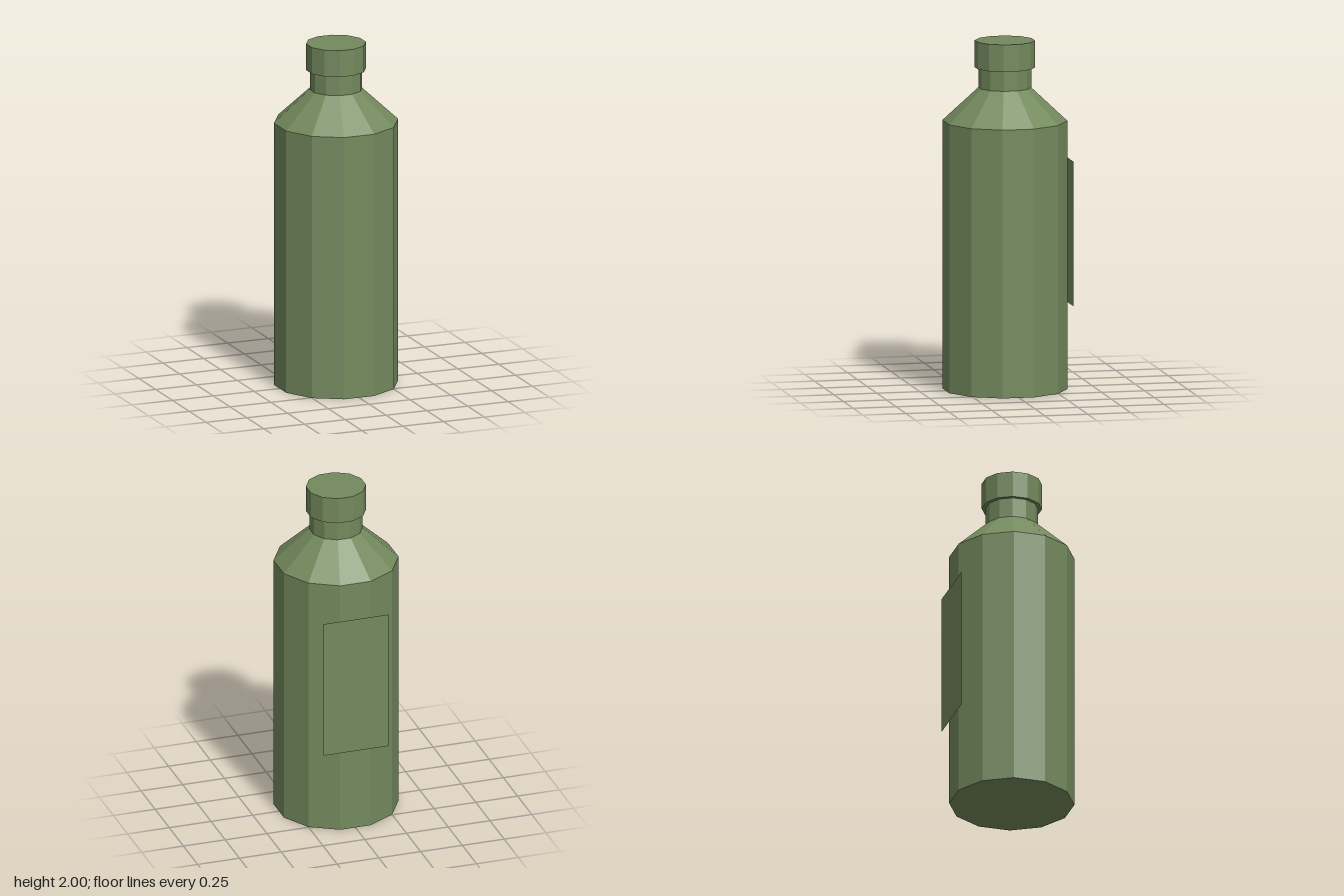
import * as THREE from 'three';

const SIDES = 12;
const AXIS_Z = 0.006; // the label behind shifts the bottle slightly forward

// Faceted solid of revolution with flat sides facing the main axes
function turned(name, profile, material) {
  const points = profile.map(([r, y]) => new THREE.Vector2(r, y));
  const geometry = new THREE.LatheGeometry(points, SIDES, Math.PI / SIDES).toNonIndexed();
  geometry.computeVertexNormals();
  const mesh = new THREE.Mesh(geometry, material);
  mesh.name = name;
  mesh.position.z = AXIS_Z;
  return mesh;
}

export function createModel() {
  const group = new THREE.Group();
  group.name = 'bottle';
  const green = new THREE.MeshStandardMaterial({ color: 0x748a5e, flatShading: true, side: THREE.DoubleSide });
  green.name = 'olive green';

  // Base, straight wall, sloping shoulder and neck
  group.add(turned('body', [[0, 0], [0.355, 0], [0.355, 1.54]], green));
  group.add(turned('shoulder', [[0.355, 1.54], [0.15, 1.73]], green));
  group.add(turned('neck', [[0.15, 1.73], [0.15, 1.845]], green));

  // Cap, slightly wider than the neck
  group.add(turned('cap', [[0, 1.845], [0.171, 1.845], [0.171, 2], [0, 2]], green));

  // Flat label panel standing just off the back
  const label = new THREE.Mesh(new THREE.PlaneGeometry(0.39, 0.83), green);
  label.name = 'label';
  label.rotation.y = Math.PI;
  label.position.set(0, 0.905, -0.35);
  group.add(label);

  return group;
}
